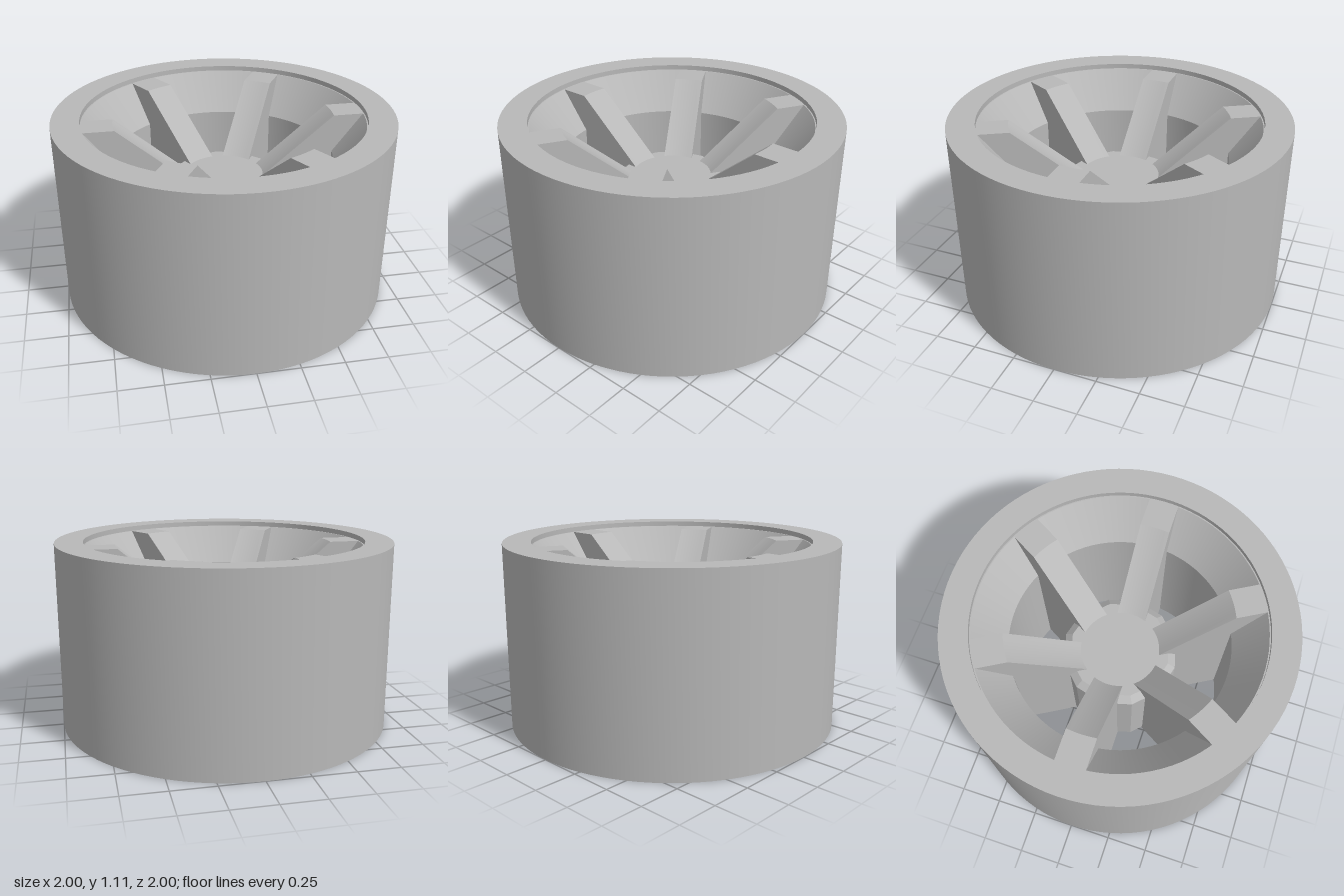
import * as THREE from 'three';
import { toCreasedNormals } from 'three/addons/utils/BufferGeometryUtils.js';

const HEIGHT = 1.11, LIP = 1.08, BORE = 0.65, HUB_TOP = 0.72;

const metal = new THREE.MeshStandardMaterial({ color: 0xb8b8b8 });
metal.name = 'light grey';

// Revolve a bottom-to-top profile, keeping its edges sharp
function revolve(name, points, segments, crease) {
  const lathe = new THREE.LatheGeometry(points.map(([r, y]) => new THREE.Vector2(r, y)), segments);
  const mesh = new THREE.Mesh(toCreasedNormals(lathe, crease), metal);
  mesh.name = name;
  return mesh;
}

// Full-height radial web: flat foot, conical sloping top, flat outer end
function spokeGeometry() {
  const radii = [0.235, BORE, 0.828];
  const tops = [HUB_TOP, LIP, LIP];
  const geo = new THREE.BoxGeometry(1, 1, 0.175, 2, 1, 6);
  const pos = geo.attributes.position;
  for (let i = 0; i < pos.count; i++) {
    const station = Math.round((pos.getX(i) + 0.5) * 2);
    const z = pos.getZ(i);
    pos.setX(i, Math.sqrt(radii[station] ** 2 - z * z));
    pos.setY(i, pos.getY(i) > 0 ? tops[station] : 0);
  }
  return toCreasedNormals(geo, 0.3);
}

export function createModel() {
  const model = new THREE.Group();
  model.name = 'wheel';

  // Rim: straight outside, lipped funnel and straight bore inside
  model.add(revolve('rim', [
    [BORE, 0], [1, 0], [1, HEIGHT], [0.835, HEIGHT], [0.835, LIP],
    [0.828, LIP], [BORE, 0.85], [BORE, 0],
  ], 96, 0.3));

  // Twelve-sided hub, chamfered top and bottom
  model.add(revolve('hub', [
    [0, 0], [0.3, 0], [0.345, 0.035], [0.345, HUB_TOP - 0.035], [0.3, HUB_TOP], [0, HUB_TOP],
  ], 12, 0.3));

  // Six spokes
  const geometry = spokeGeometry();
  for (let i = 0; i < 6; i++) {
    const spoke = new THREE.Mesh(geometry, metal);
    spoke.name = `spoke${i + 1}`;
    spoke.rotation.y = (i * Math.PI) / 3;
    model.add(spoke);
  }
  return model;
}
